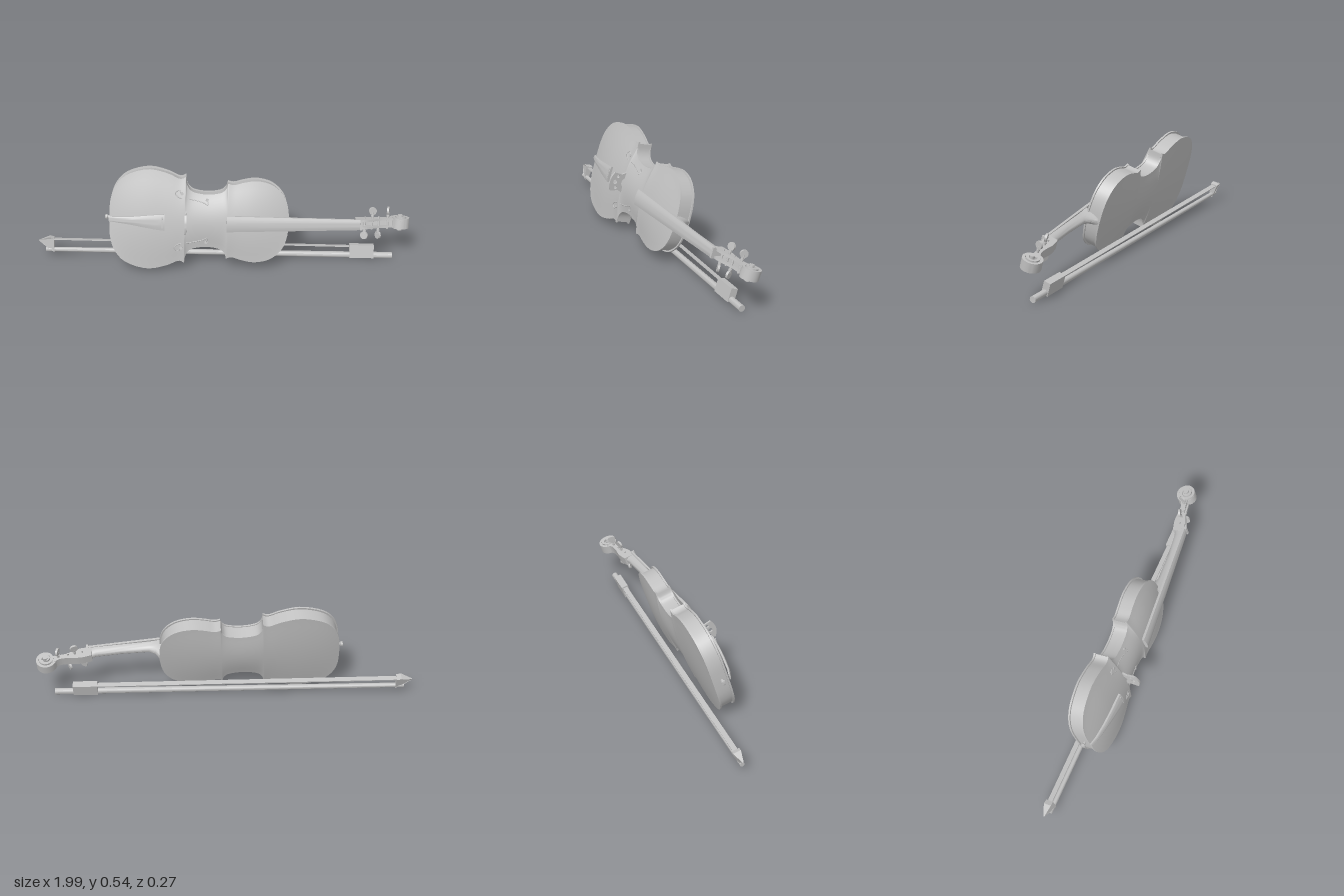
import * as THREE from 'three';
import { toCreasedNormals } from 'three/addons/utils/BufferGeometryUtils.js';

const grey = new THREE.MeshStandardMaterial({ color: 0xc0c0c0 });
grey.name = 'plain grey';
const V2 = (x, y) => new THREE.Vector2(x, y);
const V3 = (x, y, z) => new THREE.Vector3(x, y, z);

function add(parent, name, geo, crease = 0.6) {
  const mesh = new THREE.Mesh(crease ? toCreasedNormals(geo, crease) : geo, grey);
  mesh.name = name;
  parent.add(mesh);
  return mesh;
}

// Skin over equal rings of points, with both ends capped
function skin(rings) {
  const n = rings[0].length, idx = [];
  for (let i = 0; i < rings.length - 1; i++)
    for (let j = 0; j < n; j++) {
      const a = i * n + j, b = i * n + (j + 1) % n;
      idx.push(a, b, a + n, b, b + n, a + n);
    }
  const last = (rings.length - 1) * n;
  for (let j = 1; j < n - 1; j++) idx.push(0, j + 1, j, last, last + j, last + j + 1);
  const g = new THREE.BufferGeometry().setFromPoints(rings.flat());
  g.setIndex(idx);
  return g;
}

// Loft along x; each section is [x, half width, base z, height]
const loft = (sections, profile) =>
  skin(sections.map(([x, hw, z, h]) => profile.map(([a, b]) => V3(x, a * hw, z + b * h))));

const arc = (from, to, n, f) => Array.from({ length: n + 1 }, (_, i) => f(from + (to - from) * i / n));
const roundBelow = arc(Math.PI, 2 * Math.PI, 12, t => [Math.cos(t), Math.sin(t)]);
const roundAbove = [[-1, 0], [1, 0], ...arc(1, -1, 8, t => [t, 1 - 0.35 * t * t])];

// Half outline of the body: lower bout, waist, upper bout
const bouts = [
  [[-.602, 0], [-.597, .1], [-.57, .18], [-.51, .24], [-.4, .271], [-.3, .252], [-.235, .224], [-.203, .235]],
  [[-.203, .235], [-.196, .19], [-.165, .156], [-.09, .143], [-.02, .153], [.008, .175], [.018, .205]],
  [[.018, .205], [.05, .198], [.1, .212], [.17, .222], [.25, .203], [.31, .15], [.337, .08], [.345, 0]],
];
const half = bouts.flatMap((b, k) =>
  new THREE.SplineCurve(b.map(p => V2(...p))).getPoints(24).slice(k ? 1 : 0));

function halfWidth(x) {
  const i = Math.max(1, half.findIndex(p => p.x >= x));
  const a = half[i - 1], b = half[i];
  return a.y + (b.y - a.y) * (x - a.x) / (b.x - a.x);
}
// Height of the arching; s runs from -1 to 1 across the body
function archAt(x, s, height) {
  const e = Math.max(0, Math.min(1, (x + .602) / .24, (.345 - x) / .24));
  return height * (1 - (1 - e) ** 2) * (1 - s * s) ** 1.2;
}

function archedFace(z, height, dir) {
  const rows = 20, pts = [], idx = [];
  half.forEach(p => {
    for (let j = 0; j <= rows; j++) {
      const s = j / rows * 2 - 1;
      pts.push(V3(p.x, p.y * s, z + dir * archAt(p.x, s, height)));
    }
  });
  for (let i = 0; i < half.length - 1; i++)
    for (let j = 0; j < rows; j++) {
      const a = i * (rows + 1) + j, b = a + rows + 1;
      if (dir > 0) idx.push(a, b, b + 1, a, b + 1, a + 1);
      else idx.push(a, b + 1, b, a, a + 1, b + 1);
    }
  const g = new THREE.BufferGeometry().setFromPoints(pts);
  g.setIndex(idx);
  g.computeVertexNormals();
  return g;
}

function bodySlab(z, depth, kx, ky) {
  const side = sign => half.map(p => V2((p.x + .128) * kx - .128, sign * p.y * ky));
  const outline = [...side(-1), ...side(1).reverse().slice(1, -1)];
  const g = new THREE.ExtrudeGeometry(new THREE.Shape(outline), { depth, bevelEnabled: false });
  return g.translate(0, 0, z);
}

// Side-view profile in x and z, extruded across the instrument
function sideProfile(shape, width, y = 0) {
  return new THREE.ExtrudeGeometry(shape, { depth: width, bevelEnabled: false })
    .translate(0, 0, -width / 2).rotateX(Math.PI / 2).translate(0, y, 0);
}

function buildBody(g) {
  add(g, 'ribs', bodySlab(-.079, .074, .985, .965));
  add(g, 'topPlateEdge', bodySlab(-.009, .009, 1, 1));
  add(g, 'backPlateEdge', bodySlab(-.084, .009, 1, 1));
  add(g, 'topPlate', archedFace(0, .03, 1), 0);
  add(g, 'backPlate', archedFace(-.084, .018, -1), 0);

  // Sound holes as fine curves with round ends lying on the arched top
  const f = [[-.222, .148], [-.24, .165], [-.258, .15], [-.235, .126], [-.17, .117], [-.11, .102], [-.082, .088], [-.09, .115]];
  for (const side of [-1, 1]) {
    const on = ([x, y]) => V3(x, y * side, archAt(x, y / halfWidth(x), .03));
    add(g, 'soundHole', new THREE.TubeGeometry(new THREE.CatmullRomCurve3(f.map(on)), 40, .003, 6), 0);
    for (const p of [f[0], f[7]]) {
      const c = on(p);
      add(g, 'soundHoleEnd', new THREE.CylinderGeometry(.008, .008, .006, 14).rotateX(Math.PI / 2).translate(c.x, c.y, c.z));
    }
  }
  // End button
  add(g, 'endButton', new THREE.LatheGeometry(
    [[0, 0], [.008, 0], [.008, .012], [.013, .016], [.013, .026], [0, .03]].map(p => V2(...p)), 16)
    .rotateZ(Math.PI / 2).translate(-.598, 0, -.035));
}

function buildFittings(g) {
  // Tailpiece
  add(g, 'tailpiece', loft([[-.605, .012, .002, .01], [-.56, .015, .016, .012], [-.48, .022, .03, .014],
    [-.42, .031, .038, .015], [-.36, .039, .044, .016], [-.31, .044, .048, .016]], roundAbove));
  add(g, 'tailpieceSlot', new THREE.BoxGeometry(.006, .06, .004).translate(-.322, 0, .062));

  // Bridge with feet, heart and side cut-outs
  const s = new THREE.Shape();
  s.moveTo(-.06, .022);
  s.lineTo(-.03, .022);
  s.quadraticCurveTo(0, .062, .03, .022);
  s.lineTo(.06, .022);
  s.lineTo(.045, .05);
  s.lineTo(.052, .095);
  s.quadraticCurveTo(0, .128, -.052, .095);
  s.lineTo(-.045, .05);
  for (const [x, z, r] of [[0, .08, .012], [-.031, .07, .009], [.031, .07, .009]])
    s.holes.push(new THREE.Path().absarc(x, z, r, 0, Math.PI * 2, true));
  add(g, 'bridge', new THREE.ExtrudeGeometry(s, { depth: .01, bevelEnabled: false })
    .applyMatrix4(new THREE.Matrix4().makeBasis(V3(0, 1, 0), V3(0, 0, 1), V3(1, 0, 0))).translate(-.205, 0, 0));
}

function buildNeck(g) {
  add(g, 'fingerboard', loft([[.015, .043, .045, .02], [.72, .028, -.009, .018]], roundAbove));
  add(g, 'neck', loft([[.32, .034, .022, .106], [.345, .031, .02, .1], [.365, .028, .018, .066], [.4, .026, .016, .046],
    [.55, .026, .004, .038], [.68, .026, -.006, .04], [.725, .025, -.008, .055]], roundBelow));
  add(g, 'nut', new THREE.BoxGeometry(.012, .054, .026).translate(.726, 0, -.001));

  // Pegbox: two cheeks and a floor
  const back = [[.91, -.105], [.87, -.078], [.82, -.072], [.76, -.073], [.7, -.06]].map(p => V2(...p));
  const cheek = new THREE.Shape();
  cheek.moveTo(.7, -.01);
  cheek.splineThru([[.75, -.008], [.79, -.022], [.84, -.044], [.91, -.055]].map(p => V2(...p)));
  cheek.lineTo(.91, -.105);
  cheek.splineThru(back.slice(1));
  for (const y of [-.02, .02]) add(g, 'pegboxCheek', sideProfile(cheek, .011, y));
  const floor = new THREE.Shape();
  floor.moveTo(.7, -.04);
  floor.splineThru([[.76, -.055], [.82, -.058], [.87, -.06], [.91, -.06]].map(p => V2(...p)));
  floor.lineTo(.91, -.105);
  floor.splineThru(back.slice(1));
  add(g, 'pegboxFloor', sideProfile(floor, .032));

  // Scroll: a band wound inwards that widens towards the eyes
  const rings = arc(0, 1, 72, t => {
    const th = Math.PI * (1.05 + 4.3 * t), r = .051 - .037 * t, w = .024 + .012 * t;
    return [[-.007, -w], [.007, -w], [.007, w], [-.007, w]]
      .map(([d, y]) => V3(.942 + (r + d) * Math.cos(th), y, -.075 + (r + d) * Math.sin(th)));
  });
  add(g, 'scroll', skin(rings));
  add(g, 'scrollCore', new THREE.CylinderGeometry(.046, .046, .036, 32).translate(.942, 0, -.075));
  add(g, 'scrollEyes', new THREE.CylinderGeometry(.013, .013, .086, 20).translate(.942, 0, -.075));

  // Tuning pegs: position, side, height and turn of the grip
  for (const [x, side, z, turn] of [[.75, -1, -.036, .5], [.79, 1, -.044, .3], [.825, -1, -.05, 1.1], [.875, 1, -.062, 1.3]]) {
    const peg = new THREE.Group();
    peg.name = 'tuningPeg';
    peg.position.set(x, 0, z);
    if (side < 0) peg.rotation.z = Math.PI;
    add(peg, 'pegShaft', new THREE.CylinderGeometry(.007, .005, .095, 12).translate(0, .012, 0));
    add(peg, 'pegCollar', new THREE.CylinderGeometry(.009, .009, .006, 12).translate(0, .04, 0));
    add(peg, 'pegGrip', new THREE.CylinderGeometry(.021, .021, .011, 20).rotateX(Math.PI / 2)
      .rotateY(turn).translate(0, .066, 0));
    g.add(peg);
  }
}

function buildBow(g) {
  add(g, 'bowStick', new THREE.CylinderGeometry(.012, .017, 1.87, 16).rotateZ(Math.PI / 2).translate(-.935, 0, 0));
  add(g, 'frog', new THREE.BoxGeometry(.13, .072, .038).translate(-.165, .022, 0));
  // Flat ribbon of hair from the frog to the head
  const hair = new THREE.BoxGeometry(1.64, .005, .026).rotateZ(-.007).translate(-1.03, .053, 0);
  add(g, 'bowHair', hair);
  // Head: wide at the hair, narrow at the stick, drawn to a point in front
  const q = (x, y, w) => [V3(x, y, -w), V3(x, y, w)];
  const rows = [q(-1.91, .05, .003), q(-1.855, .005, .011), q(-1.825, -.014, .011), q(-1.825, .066, .02), q(-1.85, .072, .021)];
  const ring = k => rows.map(r => r[k]);
  add(g, 'bowHead', skin([ring(0), ring(1)]), 0.3);
}

export function createModel() {
  const model = new THREE.Group();
  model.name = 'violinAndBow';

  const violin = new THREE.Group();
  violin.name = 'violin';
  violin.position.set(0, .276, .028);
  violin.rotation.set(-.288, 0, -.036);
  buildBody(violin);
  buildFittings(violin);
  buildNeck(violin);

  const bow = new THREE.Group();
  bow.name = 'bow';
  bow.position.set(.91, .022, -.018);
  bow.rotation.set(-.29, -.02, -.0215);
  buildBow(bow);

  model.add(violin, bow);
  return model;
}
